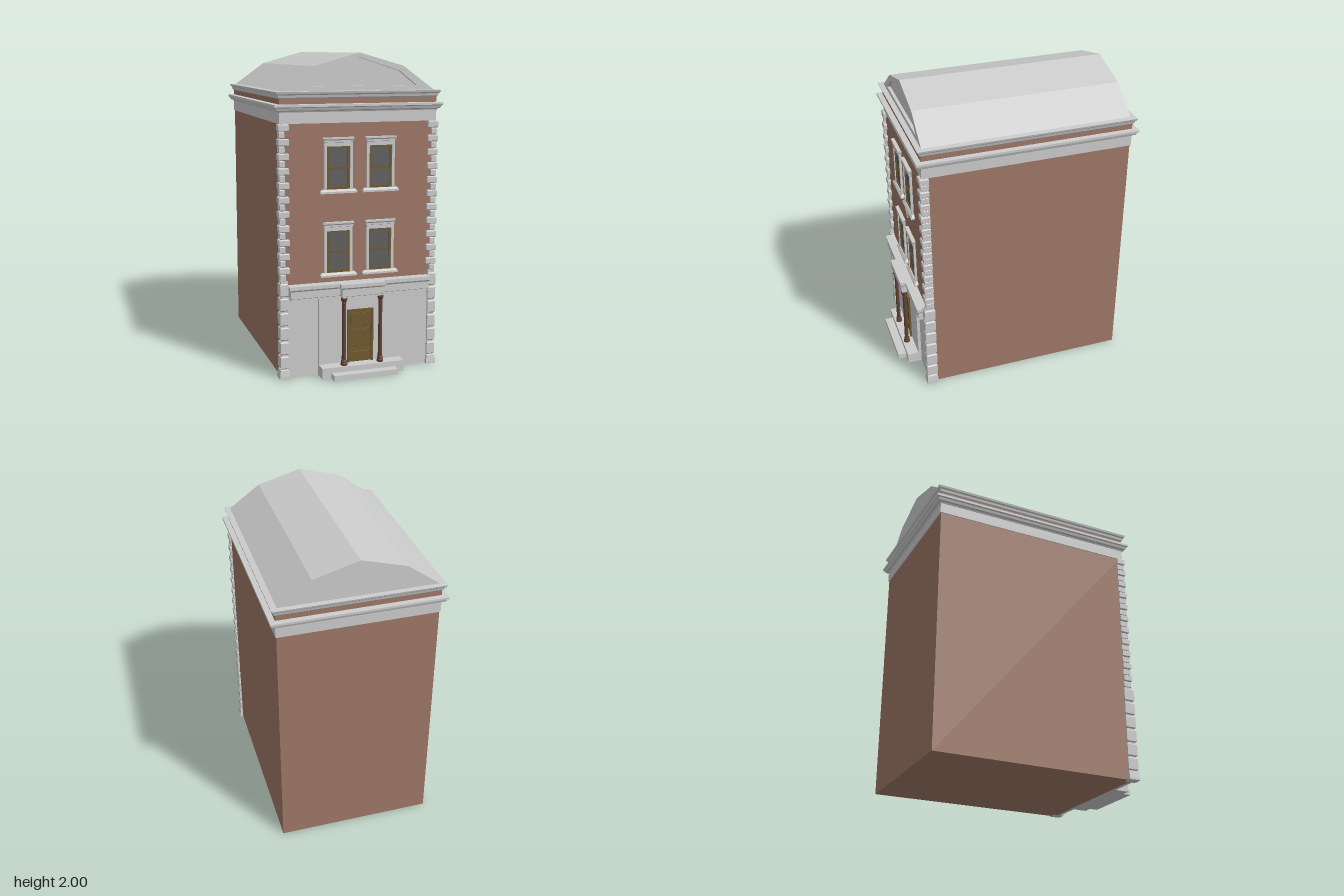
import * as THREE from 'three';

const mat = (color) => new THREE.MeshStandardMaterial({ color, flatShading: true });
const stone = mat(0xcccccc), brick = mat(0x9d7766), wood = mat(0x6f592f),
  darkWood = mat(0x614236), glass = mat(0x606060);

const FRONT = 0.615, BACK = -0.73; // wall planes

export function createModel() {
  const root = new THREE.Group();

  const group = (name, parent = root) => {
    const g = new THREE.Group();
    g.name = name;
    parent.add(g);
    return g;
  };
  const add = (name, geo, material, parent = root) => {
    const m = new THREE.Mesh(geo, material);
    m.name = name;
    parent.add(m);
    return m;
  };
  // box given by its limits
  const box = (name, x0, x1, y0, y1, z0, z1, material, parent) => {
    const m = add(name, new THREE.BoxGeometry(x1 - x0, y1 - y0, z1 - z0), material, parent);
    m.position.set((x0 + x1) / 2, (y0 + y1) / 2, (z0 + z1) / 2);
    return m;
  };
  // rectangular plan swept up through levels of [outward offset, y]
  const loft = (name, x0, x1, z0, z1, levels, material, parent) => {
    const rings = levels.map(([o, y]) => [
      [x0 - o, y, z1 + o], [x1 + o, y, z1 + o], [x1 + o, y, z0 - o], [x0 - o, y, z0 - o]]);
    const p = [];
    const quad = (a, b, c, d) => p.push(...a, ...b, ...c, ...a, ...c, ...d);
    for (let i = 0; i < rings.length - 1; i++) {
      for (let j = 0; j < 4; j++) {
        const k = (j + 1) % 4;
        quad(rings[i][j], rings[i][k], rings[i + 1][k], rings[i + 1][j]);
      }
    }
    const b = rings[0], t = rings[rings.length - 1];
    quad(b[3], b[2], b[1], b[0]);
    quad(t[0], t[1], t[2], t[3]);
    const geo = new THREE.BufferGeometry();
    geo.setAttribute('position', new THREE.Float32BufferAttribute(p, 3));
    geo.computeVertexNormals();
    return add(name, geo, material, parent);
  };
  // block with bevelled top and bottom
  const block = (name, x0, x1, y0, y1, z0, z1, bevel, parent) =>
    loft(name, x0 + bevel, x1 - bevel, z0 + bevel, z1 - bevel,
      [[0, y0], [bevel, y0 + bevel], [bevel, y1 - bevel], [0, y1]], stone, parent);

  // main walls
  box('brickWalls', -0.5, 0.5, 0, 1.6, BACK, FRONT, brick);

  // frieze, cornices and the brick band between them
  const crown = group('crown');
  loft('frieze', -0.5, 0.5, BACK, FRONT, [[0.006, 1.58], [0.006, 1.65]], stone, crown);
  loft('lowerCornice', -0.5, 0.5, BACK, FRONT,
    [[0.008, 1.648], [0.012, 1.655], [0.025, 1.66], [0.031, 1.675], [0.04, 1.68], [0.04, 1.694], [0.006, 1.696]],
    stone, crown);
  loft('brickBand', -0.5, 0.5, BACK, FRONT, [[0.005, 1.69], [0.005, 1.735]], brick, crown);
  loft('upperCornice', -0.5, 0.5, BACK, FRONT,
    [[0.006, 1.728], [0.012, 1.735], [0.016, 1.75], [0.024, 1.757], [0.028, 1.77], [0, 1.772]], stone, crown);

  // faceted roof with a recessed gable panel at the front
  const outline = [[-0.5, 1.765], [0.5, 1.765], [0.285, 1.92], [0, 2], [-0.285, 1.92]];
  const inset = [[-0.375, 1.8], [-0.26, 1.89], [0, 1.972], [0.26, 1.89], [0.375, 1.8]];
  const points = (list) => list.map(([x, y]) => new THREE.Vector2(x, y));
  const extrude = (shape, depth, z) =>
    new THREE.ExtrudeGeometry(shape, { depth, bevelEnabled: false }).translate(0, 0, z);
  const roof = group('roof');
  add('roofBody', extrude(new THREE.Shape(points(outline)), 1.315, -0.725), stone, roof);
  const rim = new THREE.Shape(points(outline));
  rim.holes.push(new THREE.Path(points(inset)));
  add('gableRim', extrude(rim, 0.02, 0.59), stone, roof);

  // corner quoins, alternating long and short above larger base blocks
  for (const side of [-1, 1]) {
    const quoins = group(side > 0 ? 'leftQuoins' : 'rightQuoins');
    const corner = (name, inner, outer, y0, y1, z0, z1, bevel) =>
      block(name, Math.min(side * inner, side * outer), Math.max(side * inner, side * outer),
        y0, y1, z0, z1, bevel, quoins);
    loft('quoinPlinth', side > 0 ? 0.462 : -0.515, side > 0 ? 0.515 : -0.462, 0.575, 0.642,
      [[0.006, 0], [0.006, 0.012], [0, 0.055], [-0.006, 0.06]], stone, quoins);
    for (let i = 0; i < 6; i++) {
      const y = 0.062 + i * 0.0925;
      corner('baseQuoin', 0.462, 0.514, y, y + 0.083, 0.572, 0.643, 0.007);
    }
    box('baseQuoinCore', side > 0 ? 0.464 : -0.506, side > 0 ? 0.506 : -0.464, 0, 0.62, 0.578, 0.634, stone, quoins);
    for (let i = 0; i < 22; i++) {
      const y = 0.619 + i * 0.0437, long = i % 2;
      corner('quoin', long ? 0.45 : 0.475, long ? 0.515 : 0.509, y, y + 0.0425,
        0.577, long ? 0.636 : 0.63, 0.005);
    }
  }

  // ground floor stone front
  const base = group('groundFloor');
  box('stoneFacing', -0.463, 0.463, 0, 0.515, 0.6, 0.625, stone, base);
  box('doorSurround', -0.27, 0.27, 0, 0.515, 0.6, 0.645, stone, base);
  const ledge = (name, half, z) => loft(name, -half, half, 0.6, z,
    [[-0.012, 0.502], [-0.012, 0.512], [-0.008, 0.515], [-0.008, 0.56], [0, 0.57], [0, 0.592]], stone, base);
  ledge('ledge', 0.463, 0.68);
  ledge('porchEntablature', 0.145, 0.716);

  // steps
  box('upperStep', -0.27, 0.27, 0, 0.07, 0.6, 0.72, stone, base);
  box('lowerStep', -0.21, 0.21, 0, 0.036, 0.6, 0.775, stone, base);

  // porch columns
  const profile = points([[0, 0.07], [0.021, 0.07], [0.021, 0.082], [0.017, 0.09], [0.019, 0.098],
    [0.014, 0.107], [0.0125, 0.3], [0.0115, 0.465], [0.015, 0.47], [0.012, 0.476], [0.02, 0.492], [0.02, 0.504], [0, 0.504]]);
  for (const side of [-1, 1]) {
    const column = add(side > 0 ? 'leftColumn' : 'rightColumn', new THREE.LatheGeometry(profile, 16), darkWood);
    column.position.set(side * 0.12, 0, 0.69);
  }

  // panelled door
  const door = group('door');
  box('doorLeaf', -0.08, 0.08, 0.07, 0.405, 0.64, 0.648, wood, door);
  for (const s of [-1, 1]) {
    box('doorJamb', s * 0.079 - 0.007, s * 0.079 + 0.007, 0.07, 0.412, 0.64, 0.658, wood, door);
  }
  box('doorHead', -0.086, 0.086, 0.4, 0.412, 0.64, 0.658, wood, door);
  const panel = (x0, x1, y0, y1) => loft('doorPanel', x0, x1, 0.64, 0.65,
    [[-0.005, y0 + 0.005], [0.002, y0 + 0.009], [0.002, y1 - 0.009], [-0.005, y1 - 0.005]], wood, door);
  for (const s of [-1, 1]) {
    panel(s * 0.036 - 0.025, s * 0.036 + 0.025, 0.3, 0.395);
    panel(s * 0.036 - 0.025, s * 0.036 + 0.025, 0.165, 0.29);
  }
  panel(-0.061, 0.061, 0.085, 0.145);
  box('doorRail', -0.072, 0.072, 0.147, 0.157, 0.64, 0.655, wood, door);

  // sash windows in stone surrounds
  const makeWindow = (x, y) => {
    const w = group('window');
    w.position.set(x, y, FRONT);
    loft('sill', -0.112, 0.112, -0.01, 0.02,
      [[0.006, 0], [0.006, 0.012], [-0.006, 0.024]], stone, w);
    for (const s of [-1, 1]) {
      box('surroundSide', s * 0.0825 - 0.0085, s * 0.0825 + 0.0085, 0.02, 0.3, -0.01, 0.015, stone, w);
      box('sashStile', s * 0.068 - 0.007, s * 0.068 + 0.007, 0.022, 0.292, -0.01, 0.009, wood, w);
    }
    loft('hood', -0.09, 0.09, -0.01, 0.015,
      [[0, 0.288], [0, 0.312], [0.004, 0.314], [0.004, 0.325], [0.009, 0.332], [0.009, 0.343]], stone, w);
    for (const [ry, h] of [[0.031, 0.016], [0.155, 0.012], [0.284, 0.014]]) {
      box('sashRail', -0.07, 0.07, ry - h / 2, ry + h / 2, -0.01, 0.008, wood, w);
    }
    box('glass', -0.065, 0.065, 0.025, 0.29, -0.01, 0.003, glass, w);
  };
  for (const y of [0.628, 1.15]) for (const x of [-0.137, 0.137]) makeWindow(x, y);

  // diamond ornament
  const diamond = new THREE.Shape(points([[0.065, 1.05], [0, 1.102], [-0.065, 1.05], [0, 0.998]]));
  add('diamond', extrude(diamond, 0.012, FRONT - 0.004), brick);

  return root;
}
